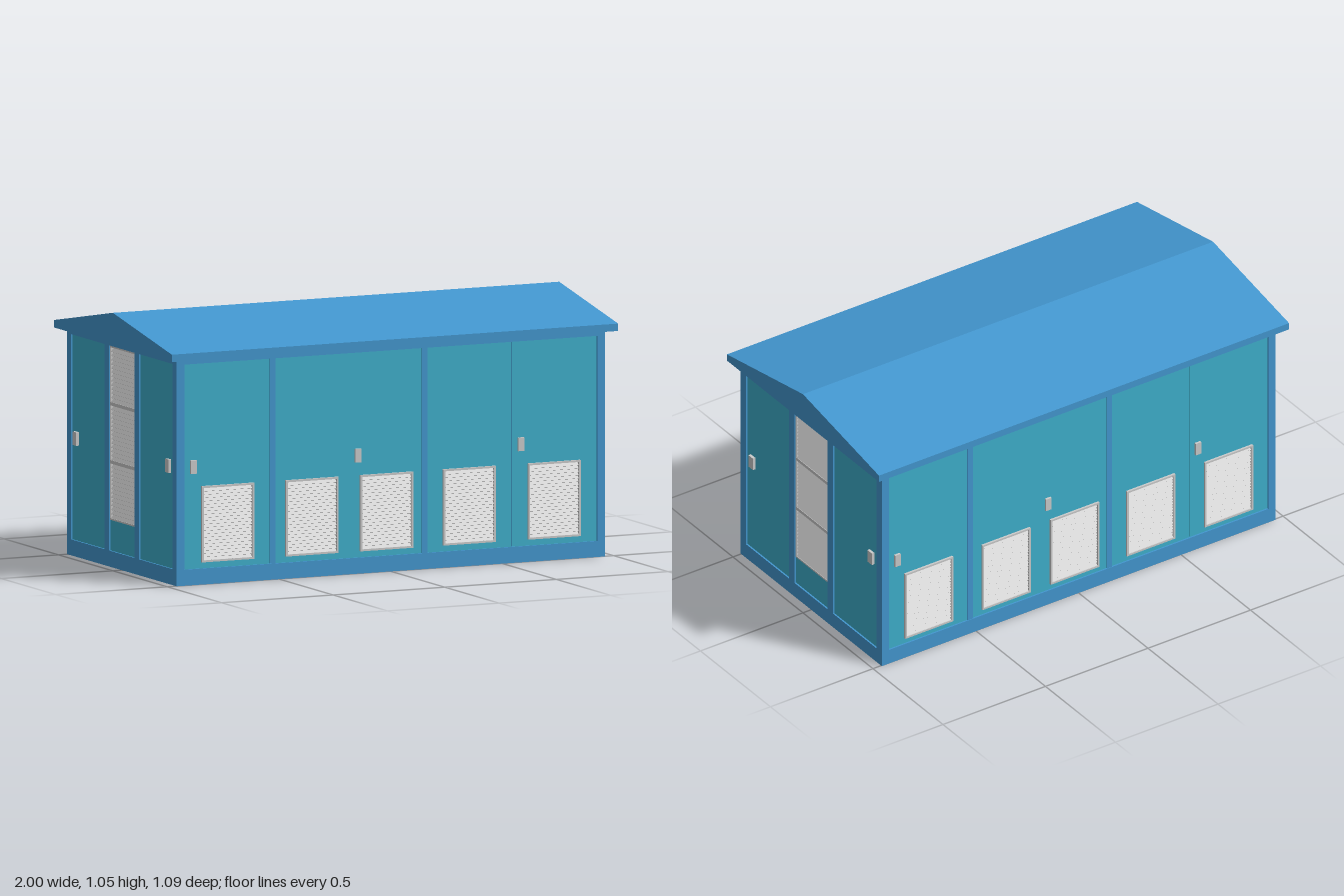
import * as THREE from 'three';
import { mergeGeometries } from 'three/addons/utils/BufferGeometryUtils.js';

const paint = (color) => new THREE.MeshStandardMaterial({ color });
const blue = paint(0x4397d0), teal = paint(0x3fb0cc), grey = paint(0xcccccc);

const BASE = 0.065, EAVE = 0.9, TOP = 0.92; // heights of plinth, doors and beam
const HX = 0.96, HZ = 0.505;                // half length and half depth

function box(parent, name, mat, x0, x1, y0, y1, z0, z1) {
  const m = new THREE.Mesh(new THREE.BoxGeometry(x1 - x0, y1 - y0, z1 - z0), mat);
  m.position.set((x0 + x1) / 2, (y0 + y1) / 2, (z0 + z1) / 2);
  m.name = name;
  parent.add(m);
}

// Flat panel with optional rectangular vent opening; its face lies at z
function panel(parent, name, x0, x1, vent, z) {
  const rect = (s, a, b, c, d) => s.moveTo(a, c).lineTo(b, c).lineTo(b, d).lineTo(a, d).closePath();
  const shape = rect(new THREE.Shape(), x0, x1, BASE, EAVE);
  if (vent) shape.holes.push(rect(new THREE.Path(), ...vent));
  const m = new THREE.Mesh(new THREE.ExtrudeGeometry(shape, { depth: 0.012, bevelEnabled: false }), teal);
  m.position.z = z - 0.012;
  m.name = name;
  parent.add(m);
}

// Framed louvre of blades that slope down and outwards
function louvre(parent, x0, x1, y0, y1, zBack, zFront, count, rim) {
  const g = new THREE.Group();
  g.name = 'louvre';
  box(g, 'frameSide', grey, x0, x0 + rim, y0, y1, zBack, zFront);
  box(g, 'frameSide', grey, x1 - rim, x1, y0, y1, zBack, zFront);
  box(g, 'frameRail', grey, x0, x1, y0, y0 + rim, zBack, zFront);
  box(g, 'frameRail', grey, x0, x1, y1 - rim, y1, zBack, zFront);
  const pitch = (y1 - y0 - 2 * rim) / count;
  const blades = [];
  for (let i = 0; i < count; i++) {
    const b = new THREE.BoxGeometry(x1 - x0 - 2 * rim, pitch * 1.4, 0.0015);
    b.rotateX(-0.7);
    b.translate(0, y0 + rim + pitch * (i + 0.5), 0);
    blades.push(b);
  }
  const m = new THREE.Mesh(mergeGeometries(blades), grey);
  m.position.set((x0 + x1) / 2, 0, (zBack + zFront) / 2);
  m.name = 'louvreBlades';
  g.add(m);
  parent.add(g);
}

// Long wall: five vented doors split by two mullions, three handles
function longWall() {
  const g = new THREE.Group();
  g.name = 'longWall';
  const face = HZ - 0.007;
  const doors = [
    [-0.925, -0.54, -0.847, -0.613],
    [-0.515, -0.187, -0.47, -0.235],
    [-0.187, 0.14, -0.137, 0.1],
    [0.165, 0.542, 0.235, 0.47],
    [0.546, 0.925, 0.615, 0.85],
  ];
  for (const [x0, x1, v0, v1] of doors) {
    panel(g, 'door', x0, x1, [v0, v1, 0.09, 0.4], face);
    louvre(g, v0, v1, 0.09, 0.4, face - 0.012, HZ + 0.002, 22, 0.008);
  }
  for (const x of [-0.5275, 0.1525]) box(g, 'mullion', blue, x - 0.0125, x + 0.0125, BASE, EAVE, HZ - 0.03, HZ - 0.002);
  box(g, 'doorSeam', blue, 0.542, 0.546, BASE, EAVE, HZ - 0.03, face - 0.004);
  for (const x of [-0.883, -0.147, 0.583]) box(g, 'handle', grey, x - 0.0135, x + 0.0135, 0.453, 0.508, face, HZ + 0.003);
  return g;
}

// End wall: two plain doors with a tall three-part louvre between them
function endWall() {
  const g = new THREE.Group();
  g.name = 'endWall';
  const face = HX - 0.007;
  for (const s of [-1, 1]) {
    const xs = [s * 0.157, s * 0.466].sort((a, b) => a - b);
    panel(g, 'endDoor', xs[0], xs[1], null, face);
    box(g, 'endMullion', blue, s * 0.1375 - 0.0195, s * 0.1375 + 0.0195, BASE, EAVE, HX - 0.03, HX);
    box(g, 'endHandle', grey, s * 0.425 - 0.016, s * 0.425 + 0.016, 0.453, 0.508, face, HX + 0.005);
  }
  box(g, 'lowerPanel', teal, -0.118, 0.118, BASE, 0.19, face - 0.012, face);
  for (let i = 0; i < 3; i++) {
    const y = 0.19 + i * 0.2365;
    louvre(g, -0.117, 0.117, y, y + 0.2365, HX - 0.024, HX - 0.004, 13, 0.007);
  }
  return g;
}

export function createModel() {
  const model = new THREE.Group();
  model.name = 'equipmentHut';
  box(model, 'plinth', blue, -HX, HX, 0, BASE, -HZ, HZ);
  box(model, 'topBeam', blue, -HX, HX, EAVE, TOP, -HZ, HZ);

  // Corner posts
  for (const sx of [-1, 1]) for (const sz of [-1, 1]) {
    const x = sx * (HX - 0.0175), z = sz * (HZ - 0.0195);
    box(model, 'cornerPost', blue, x - 0.0175, x + 0.0175, BASE, EAVE, z - 0.0195, z + 0.0195);
  }

  // Both long walls and both ends are the same, turned half a circle
  for (const turn of [0, Math.PI]) {
    const front = longWall(), end = endWall();
    front.rotation.y = turn;
    end.rotation.y = turn + Math.PI / 2;
    model.add(front, end);
  }

  // Gabled roof with a short upright eave
  const gable = new THREE.Shape([[-0.543, 0.92], [0.543, 0.92], [0.543, 0.95], [0, 1.05], [-0.543, 0.95]]
    .map(([x, y]) => new THREE.Vector2(x, y)));
  const roofGeo = new THREE.ExtrudeGeometry(gable, { depth: 2, bevelEnabled: false });
  roofGeo.translate(0, 0, -1);
  roofGeo.rotateY(Math.PI / 2);
  const roof = new THREE.Mesh(roofGeo, blue);
  roof.name = 'roof';
  model.add(roof);
  return model;
}
